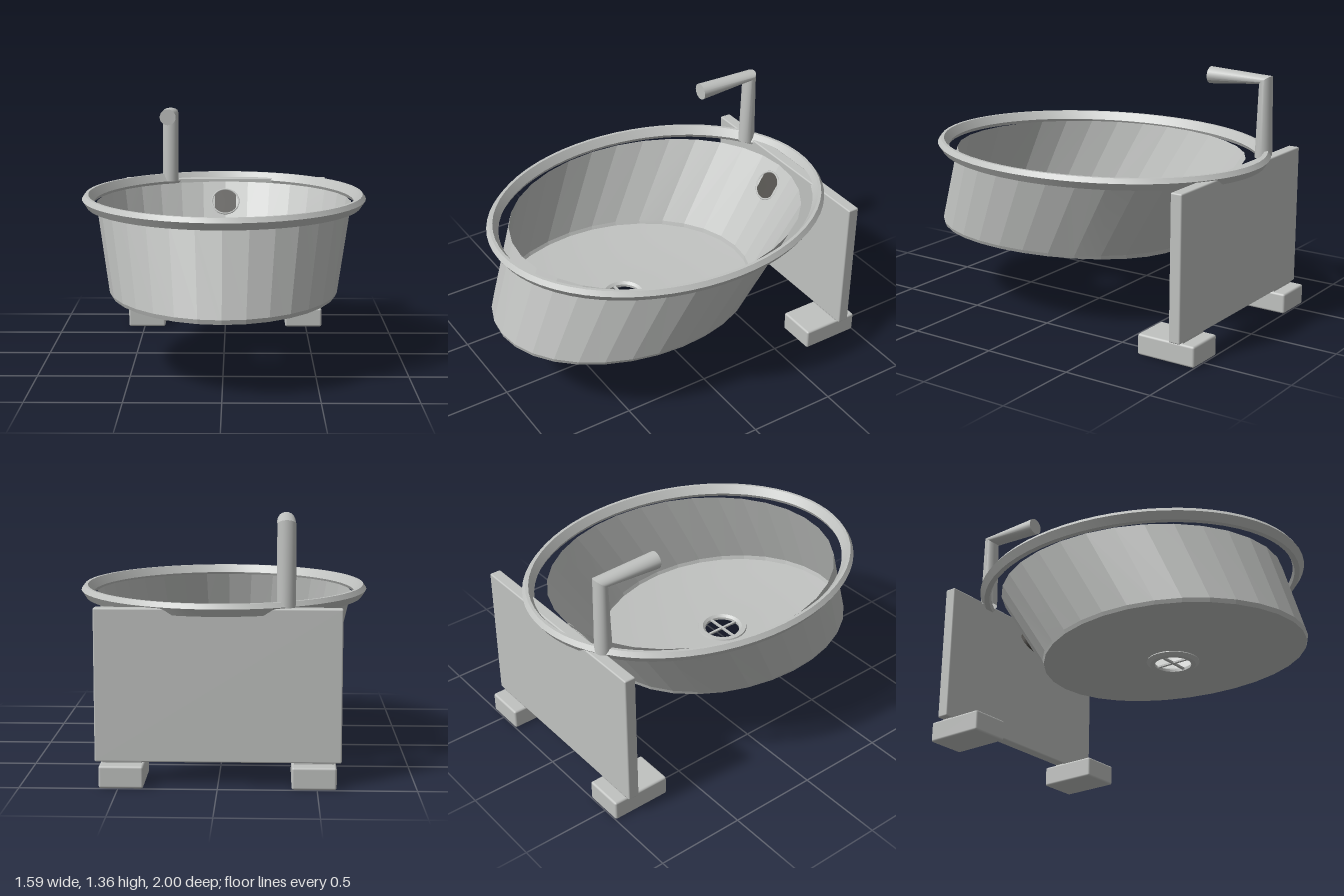
import * as THREE from 'three';
import { toCreasedNormals } from 'three/addons/utils/BufferGeometryUtils.js';
import { RoundedBoxGeometry } from 'three/addons/geometries/RoundedBoxGeometry.js';

// Skin a surface through closed rings; point(ring, angle) gives each corner.
function loft(rings, sides, point, crease) {
  const pos = [], idx = [];
  rings.forEach((ring) => {
    for (let i = 0; i < sides; i++) pos.push(...point(ring, (i / sides) * Math.PI * 2));
  });
  for (let r = 0; r < rings.length - 1; r++) {
    for (let i = 0; i < sides; i++) {
      const j = (i + 1) % sides;
      const a = r * sides + i, b = r * sides + j;
      idx.push(a, a + sides, b, b, a + sides, b + sides);
    }
  }
  const g = new THREE.BufferGeometry();
  g.setAttribute('position', new THREE.Float32BufferAttribute(pos, 3));
  g.setIndex(idx);
  return toCreasedNormals(g, crease);
}

export function createModel() {
  const group = new THREE.Group();
  const steel = new THREE.MeshStandardMaterial({ name: 'steel grey', color: 0xc0c2c0, side: THREE.DoubleSide });
  const dark = new THREE.MeshStandardMaterial({ name: 'dark grey', color: 0x484642, side: THREE.DoubleSide });

  const add = (name, geometry, material = steel, x = 0, y = 0, z = 0, parent = group) => {
    const m = new THREE.Mesh(geometry, material);
    m.name = name;
    m.position.set(x, y, z);
    parent.add(m);
    return m;
  };
  const oval = ([rx, rz, cz, y, lift = 0], a) =>
    [rx * Math.cos(a), y + lift * Math.cos(a) ** 2, cz + rz * Math.sin(a)];

  // Rim: bevelled oval ring, [offset from outer edge, height]
  const rimProfile = [[0.065, 0.89], [0.035, 0.935], [0.018, 0.935], [0, 0.91], [0.026, 0.87], [0.055, 0.87], [0.065, 0.89]];
  add('rim', loft(rimProfile.map(([o, y]) => [0.795 - o, 0.99 - o, -0.01, y]), 64, oval, 0.4));

  // Wall: slanted, faceted shell whose lower edge lifts at the sides
  add('basinWall', loft([
    [0.715, 0.85, 0, 0.885],
    [0.627, 0.775, 0.225, 0.425, 0.012],
    [0.618, 0.768, 0.225, 0.4, 0.018],
  ], 32, oval, 0.1));

  // Floor: shallow dish running from the wall down to the round drain hole
  const floorRings = [];
  for (let i = 0; i <= 8; i++) {
    const t = 1 - i / 8;
    floorRings.push([0.11 + 0.508 * t, 0.11 + 0.658 * t, 0.225, 0.375 + 0.025 * t * t, 0.018 * t * t]);
  }
  add('basinFloor', loft(floorRings, 32, oval, 0.6));

  // Drain: stepped ring with a cross in the opening
  const drain = new THREE.Group();
  drain.name = 'drain';
  drain.position.set(0, 0, 0.225);
  group.add(drain);
  const drainProfile = [[0.1, 0.355], [0.125, 0.355], [0.145, 0.37], [0.14, 0.383], [0.115, 0.383], [0.1, 0.37], [0.1, 0.355]]
    .map(([r, y]) => new THREE.Vector2(r, y));
  add('drainRing', toCreasedNormals(new THREE.LatheGeometry(drainProfile, 32), 0.4), steel, 0, 0, 0, drain);
  add('drainCrossX', new THREE.BoxGeometry(0.2, 0.01, 0.014), steel, 0, 0.365, 0, drain);
  add('drainCrossZ', new THREE.BoxGeometry(0.014, 0.01, 0.2), steel, 0, 0.365, 0, drain);

  // Overflow: round outlet lying in the sloping back wall
  const overflow = new THREE.Group();
  overflow.name = 'overflow';
  overflow.position.set(0, 0.77, -0.772);
  overflow.rotation.x = -Math.atan2(0.546, 0.838);
  group.add(overflow);
  add('overflowOpening', new THREE.CircleGeometry(0.08, 32), dark, 0, 0, 0.004, overflow);
  add('overflowRing', new THREE.TorusGeometry(0.083, 0.006, 8, 32), steel, 0, 0, 0.002, overflow);
  const sleeve = new THREE.CylinderGeometry(0.09, 0.09, 0.03, 32);
  sleeve.rotateX(Math.PI / 2);
  add('overflowSleeve', sleeve, dark, 0, 0, -0.026, overflow);

  // Tap: tapered upright mitred into a forward spout, [front y, front z, back y, back z, width]
  const tapRings = [
    [0.89, -0.809, 0.89, -0.905, 1],
    [1.295, -0.825, 1.343, -0.892, 1],
    [1.265, -0.515, 1.36, -0.515, 1],
    [1.3125, -0.515, 1.3125, -0.515, 0],
  ];
  add('tap', loft(tapRings, 24, ([fy, fz, by, bz, w], a) => {
    const t = (1 - Math.sin(a)) / 2;
    return [0.048 * w * Math.cos(a), fy + (by - fy) * t, fz + (bz - fz) * t];
  }, 0.6), steel, -0.342, 0, 0);

  // Back panel standing on two feet
  add('backPanel', new RoundedBoxGeometry(1.25, 0.785, 0.066, 2, 0.008), steel, 0, 0.5125, -0.898);
  for (const s of [-1, 1]) {
    add(s > 0 ? 'leftFoot' : 'rightFoot', new RoundedBoxGeometry(0.226, 0.115, 0.34, 2, 0.012), steel, s * 0.485, 0.0575, -0.83);
    add('footJoint', new THREE.BoxGeometry(0.2, 0.03, 0.06), steel, s * 0.485, 0.117, -0.898);
  }
  return group;
}
